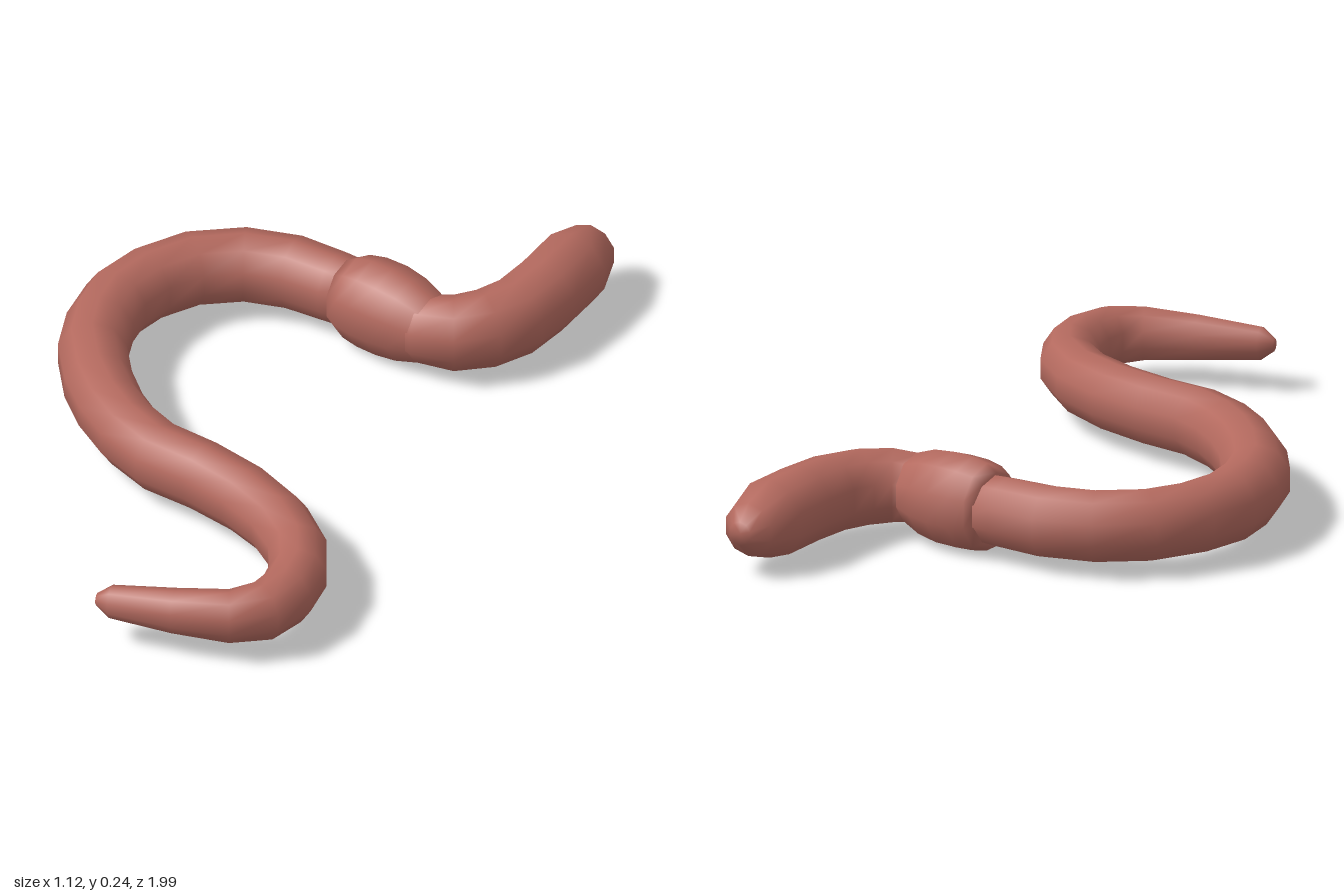
import * as THREE from 'three';

const SIDES = 10;
const AXIS_Y = 0.121;

// Closed tube through rings [x, z, halfWidth, halfHeight] lying on the ground plane
function sweptTube(rings) {
  const pos = [], index = [];
  const last = rings.length - 1;
  rings.forEach(([x, z, w, h], i) => {
    const a = rings[Math.max(i - 1, 0)], b = rings[Math.min(i + 1, last)];
    const t = new THREE.Vector2(b[0] - a[0], b[1] - a[1]).normalize();
    for (let j = 0; j < SIDES; j++) {
      const ang = ((j + 0.5) / SIDES) * Math.PI * 2;
      const s = Math.cos(ang) * w;
      pos.push(x + t.y * s, AXIS_Y + Math.sin(ang) * h, z - t.x * s);
    }
  });
  for (let i = 0; i < last; i++) {
    for (let j = 0; j < SIDES; j++) {
      const k = (j + 1) % SIDES;
      const a = i * SIDES + j, b = i * SIDES + k;
      index.push(a, b, a + SIDES, b, b + SIDES, a + SIDES);
    }
  }
  // end caps
  const start = (last + 1) * SIDES, end = start + 1;
  pos.push(rings[0][0], AXIS_Y, rings[0][1], rings[last][0], AXIS_Y, rings[last][1]);
  for (let j = 0; j < SIDES; j++) {
    const k = (j + 1) % SIDES;
    index.push(start, k, j, end, last * SIDES + j, last * SIDES + k);
  }
  const geo = new THREE.BufferGeometry();
  geo.setAttribute('position', new THREE.Float32BufferAttribute(pos, 3));
  geo.setIndex(index);
  geo.computeVertexNormals();
  return geo;
}

// Front segments: rounded head, straight neck and the bend into the collar
const headRings = [
  [0.43, -1.0, 0.03, 0.03], [0.43, -0.96, 0.068, 0.068], [0.43, -0.86, 0.097, 0.1],
  [0.425, -0.72, 0.096, 0.1], [0.41, -0.61, 0.095, 0.1], [0.37, -0.53, 0.093, 0.099],
  [0.31, -0.475, 0.09, 0.095], [0.24, -0.46, 0.084, 0.087], [0.15, -0.48, 0.08, 0.08],
];

// Thick collar band
const collarRings = [
  [0.29, -0.462, 0.07, 0.07], [0.25, -0.464, 0.086, 0.09], [0.19, -0.477, 0.1, 0.112],
  [0.13, -0.49, 0.108, 0.12], [0.07, -0.5, 0.106, 0.12], [0.025, -0.505, 0.097, 0.112],
  [-0.005, -0.51, 0.084, 0.094],
];

// Long S-shaped body tapering to the tail
const bodyRings = [
  [0.08, -0.505, 0.08, 0.085], [-0.04, -0.518, 0.084, 0.09], [-0.16, -0.527, 0.088, 0.092],
  [-0.28, -0.5, 0.089, 0.092], [-0.385, -0.425, 0.089, 0.092], [-0.45, -0.315, 0.088, 0.092],
  [-0.476, -0.2, 0.089, 0.092], [-0.463, -0.09, 0.088, 0.091], [-0.425, 0.02, 0.088, 0.091],
  [-0.35, 0.13, 0.088, 0.09], [-0.27, 0.215, 0.087, 0.09], [-0.18, 0.285, 0.086, 0.09],
  [-0.07, 0.34, 0.085, 0.089], [0.065, 0.362, 0.083, 0.088], [0.205, 0.403, 0.083, 0.086],
  [0.33, 0.465, 0.081, 0.083], [0.425, 0.55, 0.077, 0.081], [0.475, 0.64, 0.074, 0.08],
  [0.49, 0.73, 0.072, 0.079], [0.473, 0.815, 0.069, 0.076], [0.41, 0.875, 0.06, 0.069],
  [0.28, 0.917, 0.052, 0.058], [0.125, 0.954, 0.037, 0.043], [0.09, 0.96, 0.014, 0.016],
];

export function createModel() {
  const group = new THREE.Group();
  group.name = 'worm';
  const skin = new THREE.MeshStandardMaterial({ color: 0xb3695e });
  skin.name = 'dusty pink skin';
  const parts = { head: headRings, collar: collarRings, body: bodyRings };
  for (const [name, rings] of Object.entries(parts)) {
    const mesh = new THREE.Mesh(sweptTube(rings), skin);
    mesh.name = name;
    group.add(mesh);
  }
  return group;
}
